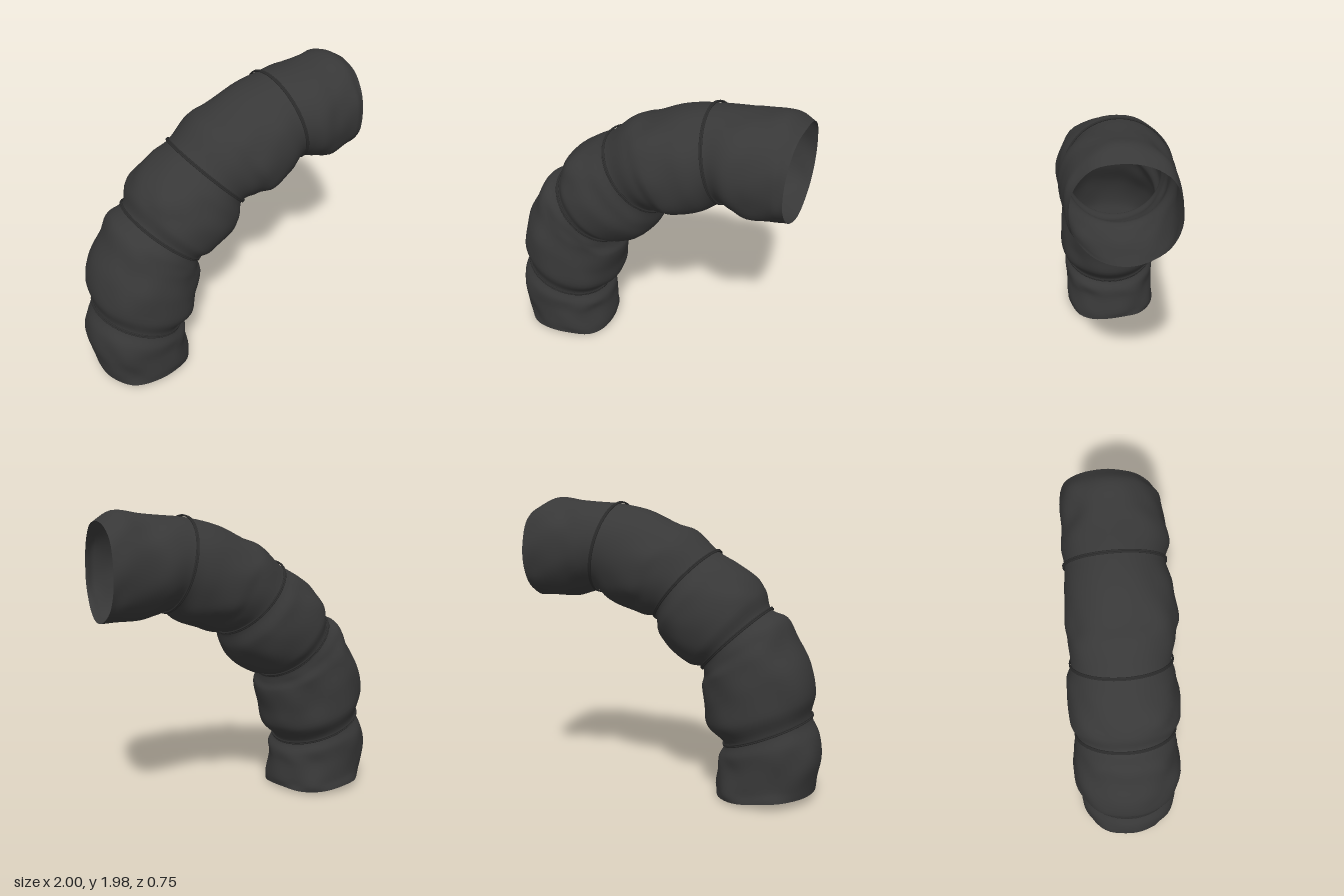
import * as THREE from 'three';

// Cross-sections along the bend: [outer x, outer y, inner x, inner y, front depth, back depth]
const STATIONS = [
  [-0.96, 0.06, -0.305, 0.025, 0.33, 0.345],
  [-0.975, 0.16, -0.3, 0.08, 0.335, 0.335],
  [-1.0, 0.3, -0.32, 0.2, 0.335, 0.335],
  [-0.98, 0.45, -0.325, 0.28, 0.345, 0.34],
  [-0.925, 0.57, -0.36, 0.355, 0.32, 0.32],
  [-0.95, 0.72, -0.25, 0.47, 0.37, 0.375],
  [-0.91, 0.92, -0.23, 0.6, 0.365, 0.37],
  [-0.82, 1.08, -0.2, 0.74, 0.34, 0.355],
  [-0.75, 1.21, -0.215, 0.8, 0.33, 0.335],
  [-0.64, 1.26, -0.21, 0.86, 0.32, 0.325],
  [-0.6, 1.38, -0.12, 0.88, 0.36, 0.36],
  [-0.53, 1.47, 0.02, 0.97, 0.365, 0.365],
  [-0.4, 1.56, 0.09, 1.07, 0.34, 0.36],
  [-0.28, 1.63, 0.125, 1.185, 0.315, 0.32],
  [-0.12, 1.77, 0.22, 1.195, 0.35, 0.33],
  [0.0, 1.81, 0.3, 1.225, 0.378, 0.34],
  [0.2, 1.9, 0.45, 1.28, 0.355, 0.328],
  [0.4, 1.945, 0.555, 1.355, 0.315, 0.315],
  [0.58, 1.96, 0.64, 1.335, 0.358, 0.33],
  [0.72, 1.975, 0.74, 1.31, 0.342, 0.32],
  [0.87, 1.99, 0.9, 1.31, 0.325, 0.325],
  [0.985, 1.93, 0.99, 1.31, 0.3, 0.32],
];
const RING_STATIONS = [4, 9, 13, 17];
const LAST = STATIONS.length - 1;
const SIDES = 56;
const SUB = 5;

const outer = new THREE.CatmullRomCurve3(STATIONS.map(s => new THREE.Vector3(s[0], s[1], 0)));
const inner = new THREE.CatmullRomCurve3(STATIONS.map(s => new THREE.Vector3(s[2], s[3], 0)));

// Depth of the front or back half, eased between stations
function depthAt(s, a) {
  const i = Math.min(Math.floor(s), LAST - 1);
  const column = Math.sin(a) >= 0 ? 4 : 5;
  return THREE.MathUtils.lerp(STATIONS[i][column], STATIONS[i + 1][column], THREE.MathUtils.smoothstep(s - i, 0, 1));
}

// Soft dents in the cloth, fading out under the rings and at the outline
function wrinkle(s, a) {
  const near = Math.min(...RING_STATIONS.map(r => Math.abs(s - r)));
  const fade = Math.min(1, near / 1.5);
  const diagonal = Math.sin(2 * a) ** 2;
  const dents = 0.02 * Math.sin(3 * a + s * 1.7) + 0.018 * Math.sin(5 * a - s * 1.9 + 1);
  const creases = 0.008 * Math.sin(9 * a + s * 2.6) + 0.006 * Math.sin(7 * a - s * 3.1);
  return fade * (diagonal * (0.025 + dents) + (0.3 + 0.7 * diagonal) * creases);
}

function surfacePoint(s, a) {
  const o = outer.getPoint(s / LAST);
  const i = inner.getPoint(s / LAST);
  const mid = o.clone().add(i).multiplyScalar(0.5);
  const k = 1 + wrinkle(s, a);
  const p = mid.clone().add(o.sub(mid).multiplyScalar(Math.cos(a) * k));
  p.z = Math.sin(a) * depthAt(s, a) * k;
  // Uneven hems at both ends
  const start = Math.max(0, 1 - s), end = Math.max(0, s - LAST + 1);
  p.y -= start * (0.012 * Math.sin(a) + 0.014 * Math.sin(2.5 * a) * Math.sin(a) - 0.006 * Math.cos(4 * a));
  p.x -= end * (0.035 * Math.max(0, Math.sin(a)) - 0.01 * Math.max(0, -Math.sin(a)));
  return p;
}

function sleeveGeometry() {
  const rows = LAST * SUB;
  const pos = [], index = [];
  for (let r = 0; r <= rows; r++) {
    for (let c = 0; c < SIDES; c++) pos.push(...surfacePoint(r / SUB, (c / SIDES) * Math.PI * 2).toArray());
  }
  for (let r = 0; r < rows; r++) {
    for (let c = 0; c < SIDES; c++) {
      const a = r * SIDES + c, b = r * SIDES + (c + 1) % SIDES;
      index.push(a, b, a + SIDES, b, b + SIDES, a + SIDES);
    }
  }
  const g = new THREE.BufferGeometry();
  g.setAttribute('position', new THREE.Float32BufferAttribute(pos, 3));
  g.setIndex(index);
  g.computeVertexNormals();
  return g;
}

// One closed wire strand around the sleeve, shifted along its axis
function strandGeometry(station, shift) {
  const [ox, oy, ix, iy, front, back] = STATIONS[station];
  const mid = new THREE.Vector3((ox + ix) / 2, (oy + iy) / 2, 0);
  const u = new THREE.Vector3(ox - ix, oy - iy, 0);
  const half = u.length() / 2 + 0.01;
  u.normalize();
  const axis = new THREE.Vector3(u.y, -u.x, 0);
  const pts = [];
  for (let k = 0; k < 32; k++) {
    const a = (k / 32) * Math.PI * 2;
    const p = mid.clone().addScaledVector(u, Math.cos(a) * half).addScaledVector(axis, shift);
    p.z = Math.sin(a) * ((a < Math.PI ? front : back) + 0.008);
    pts.push(p);
  }
  return new THREE.TubeGeometry(new THREE.CatmullRomCurve3(pts, true), 64, 0.006, 8, true);
}

export function createModel() {
  const model = new THREE.Group();
  model.name = 'bentSleeve';

  const cloth = new THREE.MeshStandardMaterial({ color: 0x383838, side: THREE.DoubleSide });
  cloth.name = 'dark grey cloth';
  const wire = new THREE.MeshStandardMaterial({ color: 0x2c2c2c });
  wire.name = 'black wire';

  // Open cloth tube
  const sleeve = new THREE.Mesh(sleeveGeometry(), cloth);
  sleeve.name = 'sleeve';
  model.add(sleeve);

  // Double wire ties at each pinch
  RING_STATIONS.forEach((station, n) => {
    const tie = new THREE.Group();
    tie.name = `tieRing${n + 1}`;
    for (const shift of [-0.005, 0.005]) {
      const strand = new THREE.Mesh(strandGeometry(station, shift), wire);
      strand.name = 'wireStrand';
      tie.add(strand);
    }
    model.add(tie);
  });
  return model;
}
